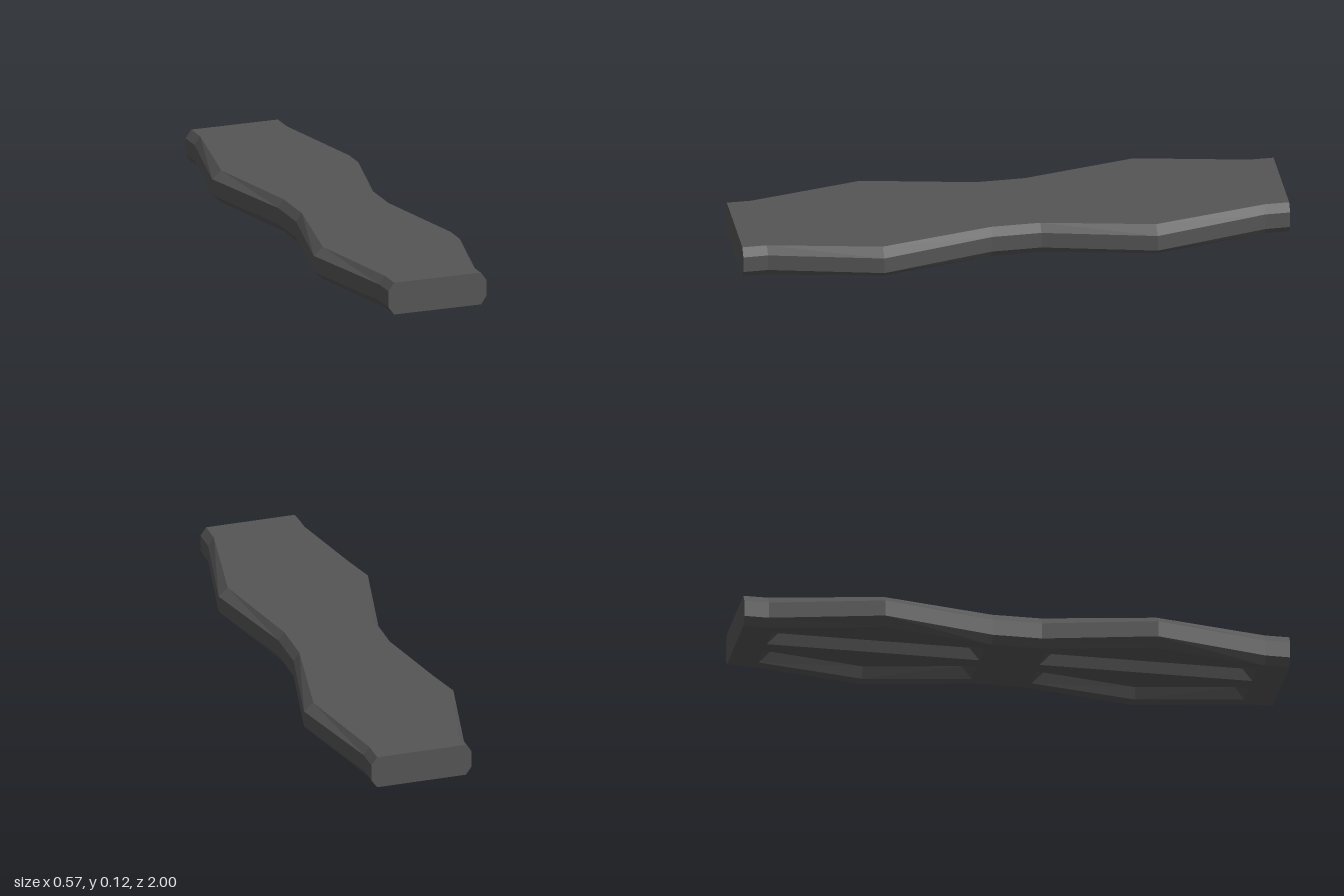
import * as THREE from 'three';

const material = new THREE.MeshStandardMaterial({ color: 0x555555, flatShading: true });

// Stations along the bar: [z, half width, half width inside the bevel]
const STATIONS = [
  [-1, 0.19, 0.168], [-0.91, 0.19, 0.168], [-0.5, 0.283, 0.248], [-0.09, 0.19, 0.168],
  [0.09, 0.19, 0.168], [0.5, 0.283, 0.248], [0.91, 0.19, 0.168], [1, 0.19, 0.168],
];
const HEIGHT = 0.12, BEVEL = 0.03, DEPTH = 0.04;

// Bevelled section, counterclockwise from the lower left-hand edge
const section = ([, w, c]) => [
  [c, 0], [w, BEVEL], [w, HEIGHT - BEVEL], [c, HEIGHT],
  [-c, HEIGHT], [-w, HEIGHT - BEVEL], [-w, BEVEL], [-c, 0],
];

function quads(list) {
  const pos = [];
  for (const [a, b, c, d] of list) pos.push(...a, ...b, ...c, ...a, ...c, ...d);
  const g = new THREE.BufferGeometry();
  g.setAttribute('position', new THREE.Float32BufferAttribute(pos, 3));
  g.computeVertexNormals();
  return g;
}

const toShape = (pts) => new THREE.Shape(pts.map(([x, y]) => new THREE.Vector2(x, y)));

// Flat face looking down, from an outline in x and z
function downFace(shape, y) {
  return new THREE.ShapeGeometry(shape).rotateX(Math.PI / 2).translate(0, y, 0);
}

// Pocket outline in x and z for one lobe and side
function pocketLoop(pts, side, dz) {
  const loop = pts.map(([x, z]) => [x * side, z + dz]);
  return side < 0 ? loop.reverse() : loop;
}

export function createModel() {
  const group = new THREE.Group();
  const add = (name, geometry) => {
    const mesh = new THREE.Mesh(geometry, material);
    mesh.name = name;
    group.add(mesh);
    return mesh;
  };

  // Top, sides and bevels
  const skin = [];
  for (let s = 0; s < STATIONS.length - 1; s++) {
    const p = section(STATIONS[s]), q = section(STATIONS[s + 1]);
    const z1 = STATIONS[s][0], z2 = STATIONS[s + 1][0];
    for (let i = 0; i < 7; i++) {
      skin.push([[...p[i], z1], [...p[i + 1], z1], [...q[i + 1], z2], [...q[i], z2]]);
    }
  }
  add('bevelledBody', quads(skin));

  // End faces
  const end = toShape(section(STATIONS[0]));
  add('frontEnd', new THREE.ShapeGeometry(end).translate(0, 0, 1));
  add('backEnd', new THREE.ShapeGeometry(end).rotateY(Math.PI).translate(0, 0, -1));

  // Underside with four sloped pockets, leaving a rim, a centre rib and cross bands
  const opening = [[0.03, 0.11], [0.13, 0.11], [0.2, 0.5], [0.13, 0.89], [0.03, 0.89]];
  const floor = [[0.045, 0.15], [0.115, 0.15], [0.18, 0.5], [0.115, 0.85], [0.045, 0.85]];
  const underside = toShape([
    ...STATIONS.map(([z, , c]) => [c, z]),
    ...STATIONS.map(([z, , c]) => [-c, z]).reverse(),
  ]);
  for (const side of [1, -1]) {
    for (const dz of [0, -1]) {
      const low = pocketLoop(opening, side, dz), high = pocketLoop(floor, side, dz);
      underside.holes.push(toShape(low));
      const walls = low.map(([x, z], i) => {
        const j = (i + 1) % low.length;
        return [[x, 0, z], [low[j][0], 0, low[j][1]],
          [high[j][0], DEPTH, high[j][1]], [high[i][0], DEPTH, high[i][1]]];
      });
      add('pocketWalls', quads(walls));
      add('pocketFloor', downFace(toShape(high), DEPTH));
    }
  }
  add('underside', downFace(underside, 0));

  return group;
}
